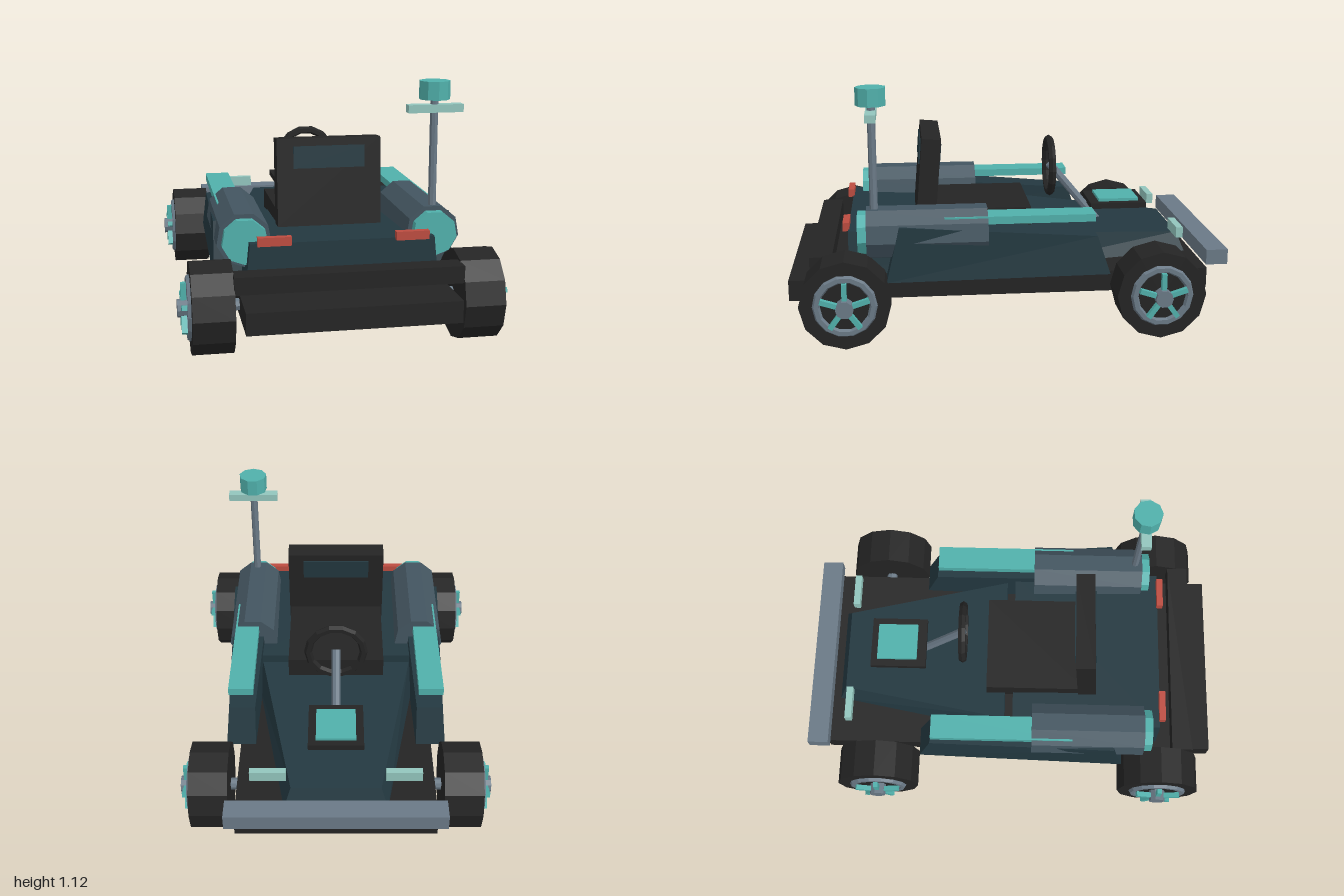
import * as THREE from 'three';

const paint = (name, color) => {
  const m = new THREE.MeshStandardMaterial({ color });
  m.name = name;
  m.flatShading = true;
  return m;
};

export function createModel() {
  const black = paint('matt black', 0x242424);
  const hullTeal = paint('dark teal', 0x233840);
  const slate = paint('slate', 0x435560);
  const grey = paint('steel grey', 0x6a7986);
  const teal = paint('bright teal', 0x50b0ab);
  const pale = paint('pale teal', 0x92c5bd);
  const red = paint('lamp red', 0xbc4c40);

  const car = new THREE.Group();
  car.name = 'buggy';

  const add = (name, geometry, material, x = 0, y = 0, z = 0, parent = car) => {
    const mesh = new THREE.Mesh(geometry, material);
    mesh.name = name;
    mesh.position.set(x, y, z);
    parent.add(mesh);
    return mesh;
  };
  // Box given by its extents along each axis
  const box = (name, material, [x0, x1], [y0, y1], [z0, z1], parent = car) =>
    add(name, new THREE.BoxGeometry(x1 - x0, y1 - y0, z1 - z0), material,
      (x0 + x1) / 2, (y0 + y1) / 2, (z0 + z1) / 2, parent);
  // Box whose corners are moved by a rule taking the signs of x, y and z
  const block = (name, material, corner) => {
    const g = new THREE.BoxGeometry(1, 1, 1);
    const p = g.attributes.position;
    for (let i = 0; i < p.count; i++)
      p.setXYZ(i, ...corner(Math.sign(p.getX(i)), p.getY(i) > 0, p.getZ(i) > 0));
    g.computeVertexNormals();
    return add(name, g, material);
  };
  // Cylinder lying along x or z
  const rod = (r, length, sides, axis) => {
    const g = new THREE.CylinderGeometry(r, r, length, sides);
    if (axis === 'x') g.rotateZ(Math.PI / 2);
    if (axis === 'z') g.rotateX(Math.PI / 2);
    return g;
  };

  // Chassis and bumpers
  box('chassis', black, [-0.45, 0.45], [0.157, 0.252], [-0.915, 1]);
  box('tailBumper', black, [-0.485, 0.485], [0.295, 0.37], [0.8, 0.9]);
  box('noseBumper', grey, [-0.485, 0.485], [0.28, 0.35], [-1, -0.9]);

  // Tapered nose and rear deck
  block('nose', hullTeal, (sx, top, back) => [
    sx * (back ? (top ? 0.36 : 0.385) : (top ? 0.2 : 0.23)),
    top ? (back ? 0.42 : 0.355) : 0.265,
    back ? -0.03 : (top ? -0.83 : -0.865)]);
  block('rearDeck', hullTeal, (sx, top, back) => [
    sx * (top ? 0.4 : 0.42),
    top ? (back ? 0.46 : 0.43) : 0.265,
    back ? 0.73 : 0.01]);

  // Seat
  box('seatCushion', black, [-0.23, 0.23], [0.4, 0.505], [-0.12, 0.36]);
  const seatBack = new THREE.Group();
  seatBack.name = 'seatBack';
  seatBack.position.set(0, 0.64, 0.36);
  seatBack.rotation.x = -0.08;
  car.add(seatBack);
  box('backrest', black, [-0.237, 0.237], [-0.2, 0.2], [-0.045, 0.045], seatBack);
  for (const s of [-1, 1])
    add('headrestPanel', new THREE.BoxGeometry(0.325, 0.1, 0.008), hullTeal, 0, 0.115, s * 0.047, seatBack);

  // Steering wheel, column and display
  add('steeringWheel', new THREE.TorusGeometry(0.13, 0.019, 6, 14), black, 0, 0.65, -0.235);
  const from = new THREE.Vector3(0, 0.66, -0.235), to = new THREE.Vector3(0, 0.365, -0.48);
  const column = add('steeringColumn', rod(0.02, from.distanceTo(to), 8), grey);
  column.position.copy(from).lerp(to, 0.5);
  column.quaternion.setFromUnitVectors(new THREE.Vector3(0, 1, 0), to.clone().sub(from).normalize());
  box('displayCase', black, [-0.125, 0.125], [0.456, 0.483], [-0.697, -0.425]);
  box('displayScreen', teal, [-0.09, 0.09], [0.483, 0.497], [-0.665, -0.47]);

  // Mast with bar and beacon
  add('mast', rod(0.018, 0.54, 8), grey, 0.42, 0.79, 0.61);
  box('mastBar', pale, [0.3, 0.545], [0.98, 1.015], [0.588, 0.635]);
  add('beacon', rod(0.068, 0.08, 9), teal, 0.42, 1.077, 0.61);

  // Axles
  const axles = [0.74, -0.655];
  for (const z of axles) add('axle', rod(0.027, 1.36, 8, 'x'), grey, 0, 0.205, z);

  for (const s of [-1, 1]) {
    // Side pod with sloped ends
    block('sidePod', hullTeal, (sx, top, back) => {
      const outer = sx === s;
      const x = back ? (outer ? (top ? 0.535 : 0.54) : 0.35) : (outer ? (top ? 0.5 : 0.515) : 0.378);
      return [s * x, top ? (back ? 0.51 : 0.437) : 0.259,
        back ? (top ? 0.5 : 0.56) : (top ? -0.39 : -0.45)];
    });
    // Thruster drum and its end cap
    add('thruster', rod(0.12, 0.54, 9, 'z'), slate, s * 0.415, 0.457, 0.375);
    add('thrusterCap', rod(0.1, 0.06, 9, 'z'), teal, s * 0.415, 0.457, 0.655);
    add('sideStrip', new THREE.BoxGeometry(0.115, 0.035, 0.68), teal, s * 0.442, 0.523, -0.04);
    // Lamps
    add('headlight', new THREE.BoxGeometry(0.16, 0.05, 0.032), pale, s * 0.3, 0.405, -0.798);
    add('tailLight', new THREE.BoxGeometry(0.145, 0.038, 0.03), red, s * 0.298, 0.472, 0.74);

    // Wheels
    for (const z of axles) {
      const wheel = new THREE.Group();
      wheel.name = 'wheel';
      wheel.position.set(s * 0.57, 0.202, z);
      car.add(wheel);
      add('tyre', rod(0.2, 0.175, 12, 'x'), black, 0, 0, 0, wheel);
      add('rim', new THREE.TorusGeometry(0.124, 0.019, 6, 14).rotateY(Math.PI / 2), grey, s * 0.085, 0, 0, wheel);
      add('hub', rod(0.039, 0.06, 10, 'x'), grey, s * 0.11, 0, 0, wheel);
      for (let i = 0; i < 5; i++) {
        const spoke = new THREE.BoxGeometry(0.024, 0.09, 0.022);
        spoke.translate(0, 0.066, 0).rotateX(i * Math.PI * 2 / 5);
        add('spoke', spoke, teal, s * 0.113, 0, 0, wheel);
      }
    }
  }
  return car;
}
